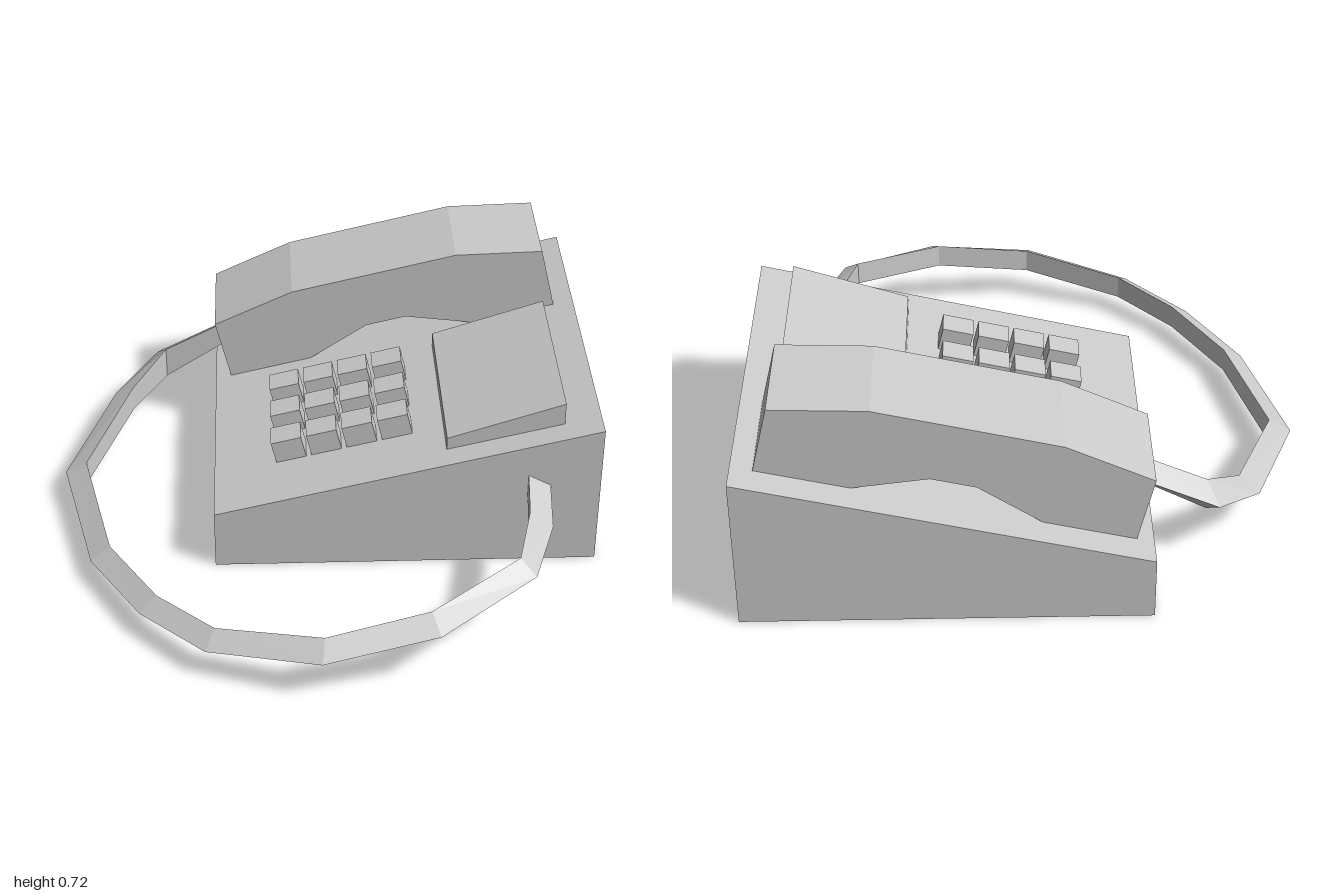
import * as THREE from 'three';

const material = new THREE.MeshStandardMaterial({ color: 0xcccccc, flatShading: true });

// Extrudes an x/y outline from z0 to z1
function prism(name, outline, z0, z1) {
  const shape = new THREE.Shape(outline.map(([x, y]) => new THREE.Vector2(x, y)));
  const geometry = new THREE.ExtrudeGeometry(shape, { depth: z1 - z0, bevelEnabled: false });
  geometry.translate(0, 0, z0);
  const mesh = new THREE.Mesh(geometry, material);
  mesh.name = name;
  return mesh;
}

// Triangular cord, edge pointing outward, flat face inward
function buildCord() {
  // outer x, outer z, inner x, inner z, centre y, half height of the inner face
  const stations = [
    [-0.30, -0.745, -0.30, -0.67, 0.355, 0.04],
    [-0.60, -0.73, -0.565, -0.655, 0.21, 0.057],
    [-0.75, -0.565, -0.685, -0.525, 0.14, 0.045],
    [-0.91, -0.14, -0.835, -0.135, 0.09, 0.042],
    [-0.795, 0.355, -0.73, 0.33, 0.077, 0.042],
    [-0.62, 0.65, -0.565, 0.61, 0.09, 0.042],
    [-0.405, 0.865, -0.375, 0.80, 0.108, 0.042],
    [-0.04, 1.0, -0.03, 0.92, 0.16, 0.042],
    [0.33, 0.945, 0.305, 0.87, 0.215, 0.042],
    [0.65, 0.715, 0.60, 0.67, 0.26, 0.042],
    [0.73, 0.475, 0.655, 0.45, 0.275, 0.042],
    [0.745, 0.25, 0.67, 0.25, 0.315, 0.042],
  ];
  const positions = [];
  const index = [];
  stations.forEach(([ox, oz, ix, iz, y, h], i) => {
    positions.push(ox, y, oz, ix, y - h, iz, ix, y + h, iz);
    if (i === 0) return;
    for (let k = 0; k < 3; k++) {
      const a = (i - 1) * 3 + k;
      const b = (i - 1) * 3 + (k + 1) % 3;
      index.push(a, b, b + 3, a, b + 3, a + 3);
    }
  });
  const last = (stations.length - 1) * 3;
  index.push(0, 2, 1, last, last + 1, last + 2);
  const geometry = new THREE.BufferGeometry();
  geometry.setAttribute('position', new THREE.Float32BufferAttribute(positions, 3));
  geometry.setIndex(index);
  geometry.computeVertexNormals();
  const cord = new THREE.Mesh(geometry, material);
  cord.name = 'cord';
  return cord;
}

export function createModel() {
  const phone = new THREE.Group();
  phone.name = 'deskTelephone';

  // Sloping housing and raised wedge panel
  phone.add(prism('housing', [[-0.38, 0], [0.91, 0], [0.91, 0.52], [-0.38, 0.21]], -1, 0.29));
  phone.add(prism('panel', [[0.4, 0.38], [0.79, 0.47], [0.79, 0.57], [0.4, 0.442]], -0.455, 0.2));

  // Parts lying on the slope
  const slope = new THREE.Group();
  slope.name = 'slopedParts';
  slope.position.set(-0.325, 0.223, 0);
  slope.rotation.z = Math.atan2(0.31, 1.29);
  phone.add(slope);

  // Arched handset
  slope.add(prism('handset', [
    [0, 0], [0.3, 0], [0.527, 0.085], [0.673, 0.085], [0.9, 0], [1.2, 0],
    [1.2, 0.226], [0.9, 0.288], [0.3, 0.288], [0, 0.226],
  ], -0.9, -0.54));

  // Keypad of four columns and three rows
  const keypad = new THREE.Group();
  keypad.name = 'keypad';
  const keyGeometry = new THREE.BoxGeometry(0.105, 0.09, 0.095);
  for (let row = 0; row < 3; row++) {
    for (let column = 0; column < 4; column++) {
      const key = new THREE.Mesh(keyGeometry, material);
      key.name = 'key';
      key.position.set(0.215 + column * 0.1235, 0.035, -0.313 + row * 0.166);
      keypad.add(key);
    }
  }
  slope.add(keypad);

  phone.add(buildCord());
  return phone;
}
